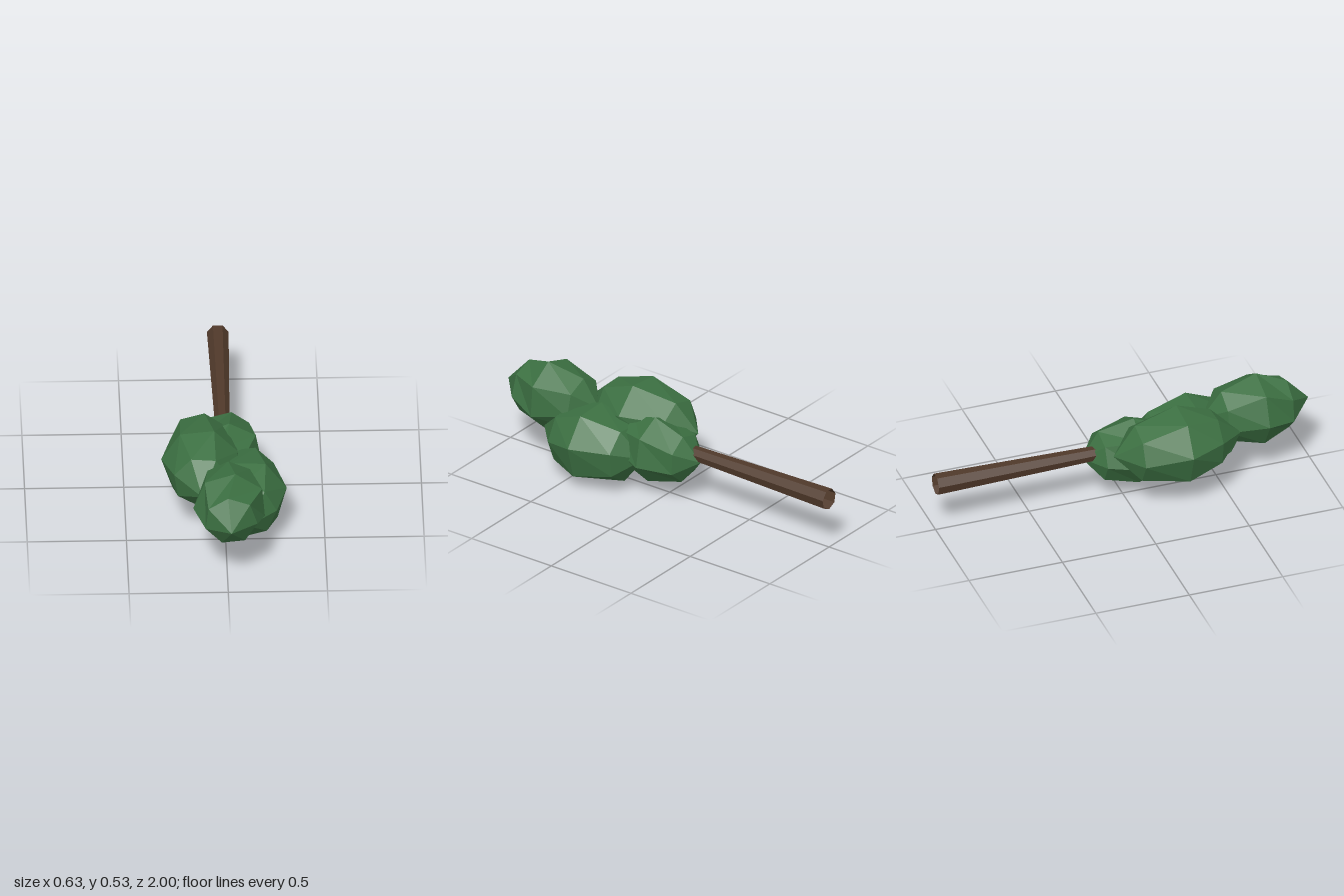
import * as THREE from 'three';

const SIDES = 7;

// Foliage clump: pointed seven-sided blob along z, built from three rings and two tips
function clumpGeometry(radius, length, phase, frontTwist, backTwist) {
  // [z in lengths, radius factor, twist in degrees], front to back
  const rings = [[0.5, 0.72, frontTwist], [0, 1, 0], [-0.66, 0.73, backTwist]];
  const points = [0, 0, 0.9 * length];
  for (const [z, r, twist] of rings) {
    for (let i = 0; i < SIDES; i++) {
      const a = THREE.MathUtils.degToRad(phase + twist) + (i / SIDES) * Math.PI * 2;
      points.push(Math.cos(a) * r * radius, Math.sin(a) * r * radius, z * length);
    }
  }
  points.push(0, 0, -length);
  const last = 1 + rings.length * SIDES;
  const index = [];
  for (let i = 0; i < SIDES; i++) {
    const j = (i + 1) % SIDES;
    index.push(0, 1 + i, 1 + j);
    for (let k = 0; k < rings.length - 1; k++) {
      const a = 1 + k * SIDES, b = a + SIDES;
      index.push(a + i, b + i, a + j, a + j, b + i, b + j);
    }
    const c = last - SIDES;
    index.push(c + i, last, c + j);
  }
  const g = new THREE.BufferGeometry();
  g.setAttribute('position', new THREE.Float32BufferAttribute(points, 3));
  g.setIndex(index);
  const flat = g.toNonIndexed();
  flat.computeVertexNormals();
  return flat;
}

export function createModel() {
  const tree = new THREE.Group();
  tree.name = 'fallenTree';
  const leaves = new THREE.MeshStandardMaterial({ color: 0x3c7042, flatShading: true });
  const bark = new THREE.MeshStandardMaterial({ color: 0x50392a, flatShading: true, side: THREE.DoubleSide });

  // Tapered trunk lying along z, open at the cut end
  const trunk = new THREE.Mesh(new THREE.CylinderGeometry(0.033, 0.056, 1.1, SIDES, 1, true), bark);
  trunk.name = 'trunk';
  trunk.rotation.x = Math.PI / 2;
  trunk.position.set(0, 0.27, -0.45);
  tree.add(trunk);

  // Foliage: name, centre, radius, length, phase, front twist, back twist
  const clumps = [
    ['crownTip', [0.017, 0.347, 0.73], 0.187, 0.3, 82, 14, 10],
    ['rightClump', [-0.12, 0.31, 0.27], 0.2, 0.36, 70, -10, 10],
    ['leftClump', [0.108, 0.205, 0.41], 0.206, 0.33, -92, -8, 8],
    ['baseClump', [0.022, 0.24, 0.07], 0.175, 0.28, -118, 8, -8],
  ];
  for (const [name, centre, ...shape] of clumps) {
    const clump = new THREE.Mesh(clumpGeometry(...shape), leaves);
    clump.name = name;
    clump.position.set(...centre);
    tree.add(clump);
  }
  return tree;
}
